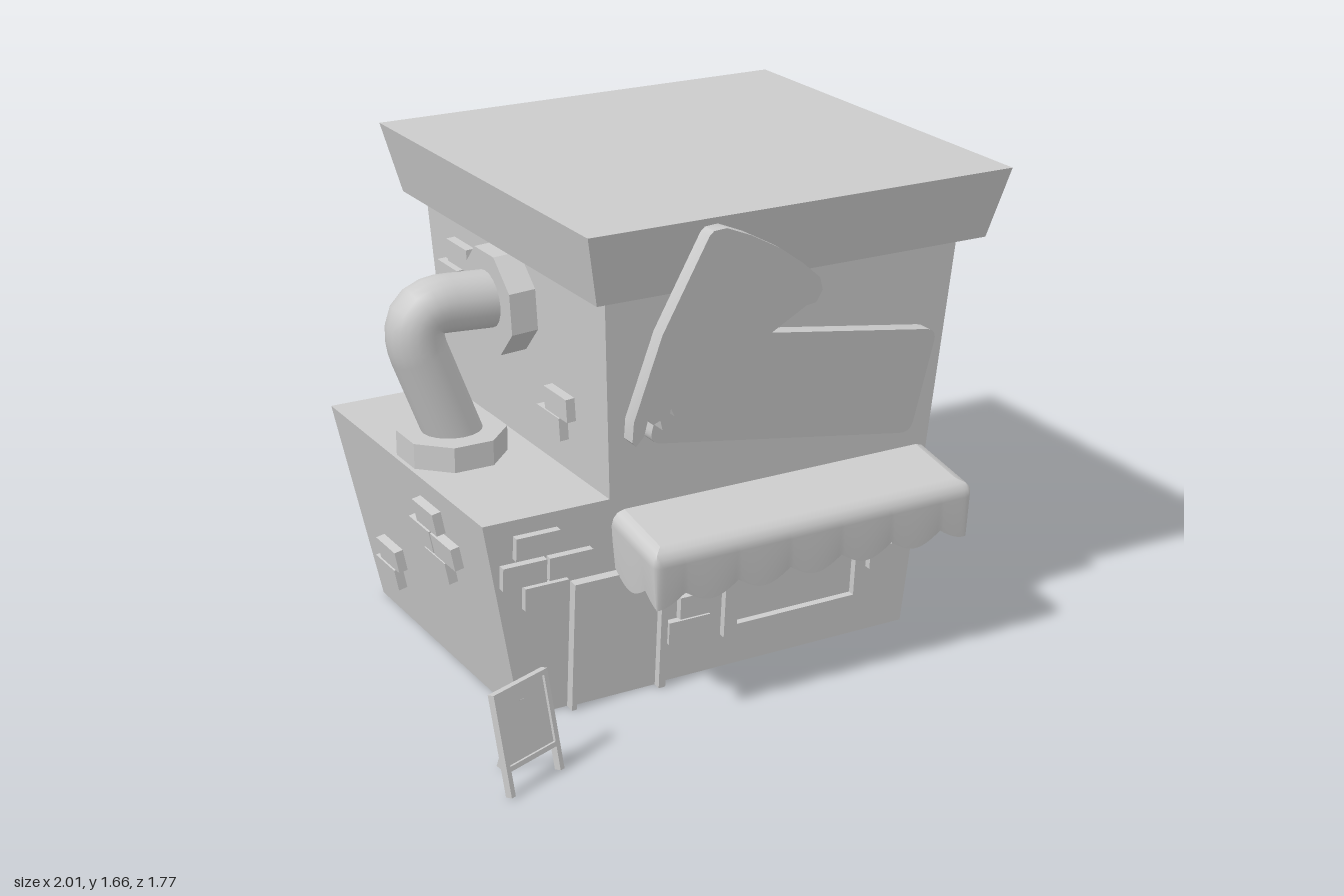
import * as THREE from 'three';
import { toCreasedNormals } from 'three/addons/utils/BufferGeometryUtils.js';

const flat = new THREE.MeshStandardMaterial({ color: 0xcccccc, flatShading: true });
const flatDouble = new THREE.MeshStandardMaterial({ color: 0xcccccc, flatShading: true, side: THREE.DoubleSide });
const smooth = new THREE.MeshStandardMaterial({ color: 0xcccccc });
const smoothDouble = new THREE.MeshStandardMaterial({ color: 0xcccccc, side: THREE.DoubleSide });

// Leaning walls of the building, as functions of height
const frontZ = y => 0.43 + 0.07 * y;
const backZ = y => -0.66 - 0.077 * y;
const rightX = y => 0.77 + 0.07 * y;
const wingX = y => -0.715 - 0.2 * y;
const towerX = y => -0.41 - 0.057 * (y - 0.725);

function add(parent, name, geometry, material = flat, x = 0, y = 0, z = 0) {
  const m = new THREE.Mesh(geometry, material);
  m.name = name;
  m.position.set(x, y, z);
  parent.add(m);
  return m;
}
const box = (w, h, d) => new THREE.BoxGeometry(w, h, d);
const shapeOf = pts => new THREE.Shape(pts.map(p => new THREE.Vector2(...p)));
const slab = (shape, depth) => new THREE.ExtrudeGeometry(shape, { depth, bevelEnabled: false, curveSegments: 5 });

// Polygon with rounded corners
function rounded(pts, r) {
  const s = new THREE.Shape();
  const v = pts.map(p => new THREE.Vector2(...p));
  v.forEach((p, i) => {
    const toward = q => q.clone().sub(p).setLength(r).add(p);
    const a = toward(v[(i + v.length - 1) % v.length]), b = toward(v[(i + 1) % v.length]);
    if (i) s.lineTo(a.x, a.y); else s.moveTo(a.x, a.y);
    s.quadraticCurveTo(p.x, p.y, b.x, b.y);
  });
  s.closePath();
  return s;
}

// L-shaped building shell with leaning walls and no floor
function bodyGeometry() {
  const g = slab(shapeOf([[wingX(0), 0], [rightX(0), 0], [rightX(1.43), 1.43], [towerX(1.43), 1.43],
    [towerX(0.725), 0.725], [wingX(0.725), 0.725]]), 1);
  const p = g.attributes.position, kept = [];
  for (let i = 0; i < p.count; i += 3) {
    if (p.getY(i) + p.getY(i + 1) + p.getY(i + 2) < 1e-6) continue;
    for (let j = i; j < i + 3; j++) {
      const y = p.getY(j);
      kept.push(p.getX(j), y, p.getZ(j) > 0.5 ? frontZ(y) : backZ(y));
    }
  }
  const out = new THREE.BufferGeometry();
  out.setAttribute('position', new THREE.Float32BufferAttribute(kept, 3));
  out.computeVertexNormals();
  return out;
}

// Awning: layers of a U-shaped outline, from scalloped hem up over a rounded shoulder to the wall
function awningGeometry() {
  const x0 = -0.4, x1 = 0.82, zw = 0.47, zf = 0.755, c = 0.035;
  const path = new THREE.CurvePath(), V = (x, z) => new THREE.Vector3(x, 0, z);
  path.add(new THREE.LineCurve3(V(x0, zw), V(x0, zf - c)));
  path.add(new THREE.QuadraticBezierCurve3(V(x0, zf - c), V(x0, zf), V(x0 + c, zf)));
  path.add(new THREE.LineCurve3(V(x0 + c, zf), V(x1 - c, zf)));
  path.add(new THREE.QuadraticBezierCurve3(V(x1 - c, zf), V(x1, zf), V(x1, zf - c)));
  path.add(new THREE.LineCurve3(V(x1, zf - c), V(x1, zw)));
  const n = 144, scallops = 9;
  const slope = z => 0.68 - 0.17 * (z - zw);
  // [inset, drop below the sloping top]
  const layers = [[0.015, null], [0, 0.05], [0.006, 0.025], [0.02, 0.008], [0.045, 0], [null, 0]];
  const pos = [], idx = [];
  for (const [inset, drop] of layers) {
    for (let i = 0; i <= n; i++) {
      const p = path.getPointAt(i / n), k = inset ?? 0.045;
      const x = THREE.MathUtils.clamp(p.x, x0 + k, x1 - k);
      const z = inset === null ? zw : Math.min(p.z, zf - k);
      const hem = 0.475 - 0.042 * Math.abs(Math.sin(Math.PI * scallops * i / n));
      pos.push(x, drop === null ? hem : slope(z) - drop, z);
    }
  }
  for (let r = 0; r < layers.length - 1; r++) for (let i = 0; i < n; i++) {
    const a = r * (n + 1) + i, b = a + n + 1;
    idx.push(a, a + 1, b, a + 1, b + 1, b);
  }
  const g = new THREE.BufferGeometry();
  g.setAttribute('position', new THREE.Float32BufferAttribute(pos, 3));
  g.setIndex(idx);
  g.computeVertexNormals();
  return g;
}

export function createModel() {
  const model = new THREE.Group();
  model.name = 'pizzaShop';
  add(model, 'buildingWalls', bodyGeometry(), flatDouble);

  // Roof cornice, narrower at its foot
  const cornice = box(1.565, 0.24, 1.525), cp = cornice.attributes.position;
  for (let i = 0; i < cp.count; i++) if (cp.getY(i) < 0) cp.setXY(i, cp.getX(i) * 0.927, cp.getY(i)).setZ(i, cp.getZ(i) * 0.931);
  add(model, 'roofCornice', cornice, flat, 0.2165, 1.54, -0.1215);

  // Raised bricks: [position along wall, height, width]
  const bricks = new THREE.Group();
  bricks.name = 'bricks';
  model.add(bricks);
  const W = 0.155, H = 0.08, D = 0.064;
  for (const [x, y, w = W] of [[-0.675, 0.63], [-0.72, 0.535], [-0.555, 0.535], [-0.64, 0.445],
    [-0.065, 0.275], [-0.105, 0.19], [0.715, 0.38, 0.115], [0.665, 0.29, 0.12]])
    add(bricks, 'frontBrick', box(w, H, 0.05), flat, x, y, frontZ(y)).rotation.x = 0.07;
  for (const [z, y, w = W] of [[-0.45, 1.265], [-0.345, 1.17], [-0.52, 1.17], [-0.405, 1.08], [-0.15, 0.83],
    [-0.08, 0.735], [0.215, 0.51], [0.145, 0.415], [-0.02, 0.415], [0.03, 0.325],
    [-0.47, 0.3, 0.115], [-0.43, 0.21, 0.115], [-0.53, 0.125, 0.115]])
    add(bricks, 'leftSideBrick', box(D, H, w), flat, rightX(y), y, z).rotation.z = -0.07;
  for (const [z, y] of [[-0.48, 1.28], [-0.57, 1.18], [-0.4, 1.18], [-0.49, 1.09], [0.2, 0.965], [0.14, 0.88]])
    add(bricks, 'towerBrick', box(D, H, W), flat, towerX(y), y, z).rotation.z = 0.057;
  for (const [z, y] of [[0.06, 0.605], [-0.01, 0.515], [0.155, 0.515], [0.07, 0.43], [-0.41, 0.27], [-0.46, 0.18]])
    add(bricks, 'wingBrick', box(D, H, W), flat, wingX(y), y, z).rotation.z = 0.197;

  // Parts lying on the leaning front wall
  const facade = new THREE.Group();
  facade.name = 'facade';
  facade.position.z = 0.43;
  facade.rotation.x = 0.07;
  model.add(facade);
  add(facade, 'doorPostRight', box(0.018, 0.465, 0.07), flat, -0.536, 0.2325, 0);
  add(facade, 'doorPostLeft', box(0.025, 0.465, 0.07), flat, -0.208, 0.2325, 0);
  add(facade, 'doorLintel', box(0.35, 0.018, 0.07), flat, -0.37, 0.456, 0);
  add(facade, 'door', box(0.32, 0.448, 0.016), flat, -0.374, 0.225, 0);
  const frame = shapeOf([[0.03, 0.125], [0.585, 0.125], [0.585, 0.4], [0.5, 0.47], [0.13, 0.47], [0.03, 0.4]]);
  frame.holes.push(shapeOf([[0.08, 0.165], [0.08, 0.355], [0.18, 0.425], [0.44, 0.425], [0.545, 0.355], [0.545, 0.165]]));
  add(facade, 'windowFrame', slab(frame, 0.045), flat, 0, 0, -0.02);

  add(model, 'awning', awningGeometry(), smoothDouble);

  // Chimney pipe from the wing roof into the tower wall
  const pz = -0.125, P = (x, y) => new THREE.Vector3(x, y, pz);
  const run = new THREE.CurvePath();
  run.add(new THREE.LineCurve3(P(-0.655, 0.76), P(-0.785, 1.1)));
  run.add(new THREE.QuadraticBezierCurve3(P(-0.785, 1.1), P(-0.835, 1.255), P(-0.69, 1.25)));
  run.add(new THREE.LineCurve3(P(-0.69, 1.25), P(-0.44, 1.235)));
  add(model, 'pipe', new THREE.TubeGeometry(run, 28, 0.097, 20), smooth);
  const flange = h => new THREE.CylinderGeometry(0.184, 0.184, h, 8).rotateY(Math.PI / 8);
  add(model, 'pipeRoofFlange', flange(0.09), flat, -0.675, 0.767, pz);
  add(model, 'pipeWallFlange', flange(0.1), flat, -0.483, 1.235, pz).rotation.z = Math.PI / 2 + 0.057;

  // Hanging sign and pizza slice, both tipped forward
  const lean = (name, shape, depth, z0, y0, k) => {
    const g = slab(shape, depth), p = g.attributes.position;
    for (let i = 0; i < p.count; i++) p.setZ(i, p.getZ(i) - depth + z0 + k * (p.getY(i) - y0));
    add(model, name, toCreasedNormals(g, 0.5), smooth);
  };
  lean('signBoard', rounded([[-0.32, 0.93], [0.695, 0.763], [0.755, 1.135], [-0.25, 1.295]], 0.045), 0.055, 0.555, 0.77, 0.125);
  lean('pizzaSlice', shapeOf([[-0.19, 1.63], [-0.175, 1.645], [-0.13, 1.648], [-0.04, 1.61], [0.07, 1.55], [0.16, 1.485],
    [0.23, 1.425], [0.245, 1.38], [0.225, 1.34], [0.19, 1.335], [-0.245, 1.075], [-0.25, 1.04], [-0.265, 1.035],
    [-0.28, 1.065], [-0.288, 1.0], [-0.305, 0.995], [-0.315, 1.03], [-0.34, 1.02], [-0.36, 1.04], [-0.37, 0.985],
    [-0.395, 0.955], [-0.41, 0.97], [-0.41, 1.04], [-0.33, 1.325]]), 0.055, 0.63, 0.96, 0.13);

  // Pavement easel sign
  const easel = new THREE.Group();
  easel.name = 'easelSign';
  easel.position.set(-0.865, 0, 0.83);
  easel.rotation.y = 0.37;
  model.add(easel);
  const panel = new THREE.Group();
  panel.name = 'easelPanel';
  panel.rotation.x = -0.2;
  easel.add(panel);
  for (const s of [-1, 1]) add(panel, 'easelFrontLeg', box(0.018, 0.335, 0.025), flat, s * 0.113, 0.1675, 0);
  for (const y of [0.089, 0.327]) add(panel, 'easelRail', box(0.21, 0.016, 0.025), flat, 0, y, 0);
  add(panel, 'easelBoard', box(0.21, 0.23, 0.012), flat, 0, 0.207, -0.003);
  const foot = new THREE.Vector3(0, 0.005, -0.146), top = new THREE.Vector3(0, 0.275, -0.06);
  const leg = add(easel, 'easelBackLeg', box(0.018, foot.distanceTo(top), 0.018));
  leg.position.copy(foot).lerp(top, 0.5);
  leg.rotation.x = Math.atan2(top.z - foot.z, top.y - foot.y);
  return model;
}
